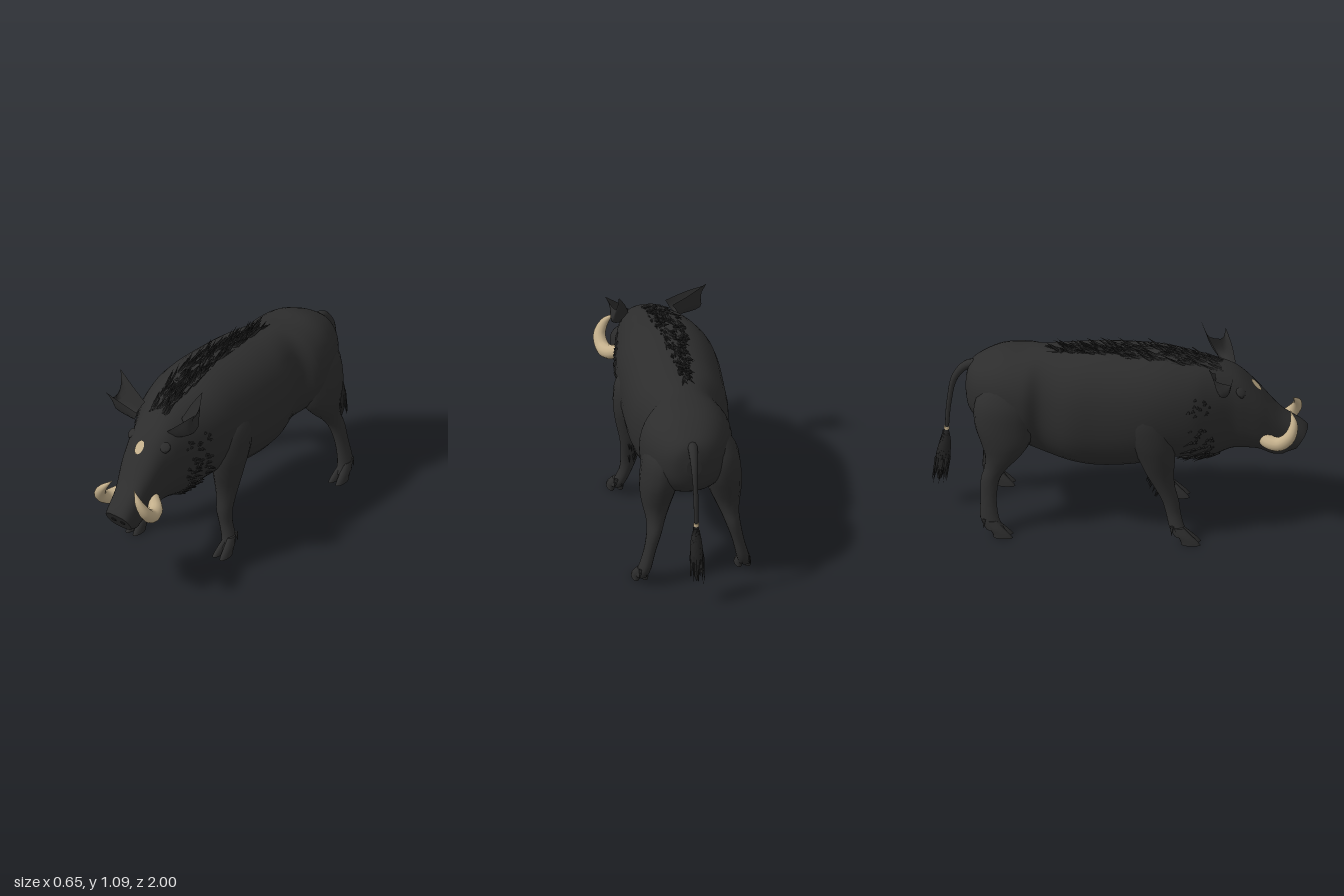
import * as THREE from 'three';
import { mergeGeometries } from 'three/addons/utils/BufferGeometryUtils.js';

const mat = (name, color, side = THREE.FrontSide) => {
  const m = new THREE.MeshStandardMaterial({ color, side });
  m.name = name;
  return m;
};
const V = (x, y, z) => new THREE.Vector3(x, y, z);

// Seeded random in the range a..b
let seed = 7;
const rnd = (a, b) => {
  seed = (seed * 16807) % 2147483647;
  return a + (b - a) * (seed / 2147483647);
};

// Smooth interpolation through rows of numbers, t in 0..1
function interp(rows, t) {
  const f = THREE.MathUtils.clamp(t, 0, 1) * (rows.length - 1);
  const i = Math.min(Math.floor(f), rows.length - 2), u = f - i;
  const r = k => rows[THREE.MathUtils.clamp(k, 0, rows.length - 1)];
  return rows[0].map((_, c) => {
    const [p0, p1, p2, p3] = [r(i - 1)[c], r(i)[c], r(i + 1)[c], r(i + 2)[c]];
    return p1 + 0.5 * u * (p2 - p0 + u * (2 * p0 - 5 * p1 + 4 * p2 - p3 + u * (3 * (p1 - p2) + p3 - p0)));
  });
}

function build(pos, idx) {
  const g = new THREE.BufferGeometry();
  g.setAttribute('position', new THREE.Float32BufferAttribute(pos, 3));
  g.setIndex(idx);
  g.computeVertexNormals();
  return g;
}

// Closed skin over a surface function fn(t, angle), with flat end caps
function loft(fn, nt, na) {
  const pos = [], idx = [];
  const ring = t => { for (let j = 0; j < na; j++) pos.push(...fn(t, (j / na) * Math.PI * 2).toArray()); };
  for (let i = 0; i <= nt; i++) ring(i / nt);
  for (let i = 0; i < nt; i++) for (let j = 0; j < na; j++) {
    const a = i * na + j, b = i * na + (j + 1) % na;
    idx.push(a, a + na, b, b, a + na, b + na);
  }
  for (const t of [0, 1]) {
    const s = pos.length / 3;
    ring(t);
    pos.push(...fn(t, 0).add(fn(t, Math.PI)).multiplyScalar(0.5).toArray());
    for (let j = 0; j < na; j++) {
      const a = s + j, b = s + (j + 1) % na;
      idx.push(s + na, t ? b : a, t ? a : b);
    }
  }
  return build(pos, idx);
}

// Limb from rows [y, x, z, radiusX, radiusZ], highest first
const limb = (rows, nt = 28, na = 16) => loft((t, a) => {
  const [y, x, z, rx, rz] = interp(rows, t);
  return V(x + rx * Math.sin(a), y, z + rz * Math.cos(a));
}, nt, na);

// Tube whose radius follows a list
function taper(points, radii, n = 24, sides = 10) {
  const path = new THREE.CatmullRomCurve3(points);
  const g = new THREE.TubeGeometry(path, n, 1, sides);
  const p = g.attributes.position, v = V(0, 0, 0);
  for (let k = 0; k < p.count; k++) {
    const t = Math.floor(k / (sides + 1)) / n, c = path.getPointAt(t);
    v.fromBufferAttribute(p, k).sub(c).multiplyScalar(interp(radii.map(r => [r]), t)[0]).add(c);
    p.setXYZ(k, v.x, v.y, v.z);
  }
  return g;
}

// One pointed tuft of bristle
function spike(at, dir, len, r) {
  const g = new THREE.ConeGeometry(r, len, 4, 1).translate(0, len / 2, 0);
  g.applyQuaternion(new THREE.Quaternion().setFromUnitVectors(V(0, 1, 0), dir.normalize()));
  return g.translate(at.x, at.y, at.z);
}

// Body and head rows: z, centre x, top y, bottom y, half width
const BODY = [
  [-0.82, 0.03, 0.8, 0.7, 0.04], [-0.8, 0.03, 0.87, 0.62, 0.11], [-0.74, 0.025, 0.92, 0.56, 0.175],
  [-0.63, 0.02, 0.97, 0.5, 0.23], [-0.5, 0.015, 0.985, 0.45, 0.25], [-0.4, 0, 1.0, 0.4, 0.21],
  [-0.25, -0.01, 1.01, 0.365, 0.26], [-0.1, -0.015, 1.025, 0.35, 0.272], [0.1, -0.025, 1.03, 0.375, 0.275],
  [0.25, -0.025, 1.02, 0.42, 0.265], [0.4, -0.02, 0.99, 0.42, 0.235], [0.5, -0.005, 0.965, 0.42, 0.2],
  [0.6, 0.01, 0.925, 0.455, 0.16], [0.67, 0.01, 0.875, 0.46, 0.137], [0.75, 0.015, 0.79, 0.45, 0.118],
  [0.82, 0.025, 0.705, 0.415, 0.1], [0.9, 0.042, 0.615, 0.41, 0.088], [0.965, 0.05, 0.55, 0.435, 0.078]];
const bend = (c, p) => Math.sign(c) * Math.abs(c) ** p;
// Sections grow boxier toward the head
const boxy = z => 0.88 - 0.12 * THREE.MathUtils.smoothstep(z, 0.5, 0.7);
function skin(t, a) {
  const [z, cx, top, bot, w] = interp(BODY, t), p = boxy(z);
  const dy = bend(Math.cos(a), p) * (top - bot) / 2;
  const lean = 0.6 * THREE.MathUtils.smoothstep(z, 0.85, 0.965);
  return V(cx + w * bend(Math.sin(a), p), (top + bot) / 2 + dy, z + dy * lean);
}
function tAt(z) {
  let lo = 0, hi = 1;
  for (let i = 0; i < 24; i++) {
    const m = (lo + hi) / 2;
    if (interp(BODY, m)[0] < z) lo = m; else hi = m;
  }
  return lo;
}
const onSkin = (z, a) => skin(tAt(z), a);

// Thin ear sheet, three rows of four points
function ear(rows) {
  const grid = rows.map(r => r.flat()), pos = [], idx = [], n = 8;
  for (let i = 0; i <= n; i++) {
    const row = interp(grid, i / n);
    const cols = [0, 3, 6, 9].map(k => row.slice(k, k + 3));
    for (let j = 0; j <= n; j++) pos.push(...interp(cols, j / n));
  }
  for (let i = 0; i < n; i++) for (let j = 0; j < n; j++) {
    const a = i * (n + 1) + j, b = a + n + 1;
    idx.push(a, b, a + 1, a + 1, b, b + 1);
  }
  return build(pos, idx);
}

export function createModel() {
  seed = 7;
  const group = new THREE.Group();
  const hide = mat('blackHide', 0x2d2d2d), earHide = mat('earHide', 0x2d2d2d, THREE.DoubleSide);
  const bristle = mat('darkBristle', 0x232323), ivory = mat('ivory', 0xc4b08c);
  const add = (name, geo, m) => {
    const mesh = new THREE.Mesh(geo, m);
    mesh.name = name;
    group.add(mesh);
    return mesh;
  };

  add('bodyAndHead', loft(skin, 85, 36), hide);

  // Legs with split hooves and dewclaws
  const FRONT = [[0.88, 0.12, 0.12, 0.04, 0.06], [0.75, 0.185, 0.14, 0.085, 0.11], [0.6, 0.195, 0.16, 0.092, 0.125],
    [0.48, 0.19, 0.175, 0.082, 0.1], [0.38, 0.185, 0.18, 0.066, 0.075], [0.3, 0.188, 0.195, 0.052, 0.055],
    [0.22, 0.193, 0.215, 0.043, 0.045], [0.15, 0.208, 0.222, 0.034, 0.04], [0.08, 0.235, 0.235, 0.034, 0.042],
    [0.04, 0.25, 0.26, 0.034, 0.045]];
  const HIND = [[0.88, 0.1, -0.58, 0.06, 0.08], [0.75, 0.145, -0.6, 0.1, 0.155], [0.62, 0.165, -0.605, 0.105, 0.16],
    [0.52, 0.18, -0.6, 0.095, 0.135], [0.44, 0.19, -0.615, 0.075, 0.095], [0.37, 0.2, -0.65, 0.052, 0.062],
    [0.3, 0.215, -0.682, 0.04, 0.05], [0.2, 0.24, -0.69, 0.032, 0.043], [0.1, 0.265, -0.685, 0.034, 0.05],
    [0.04, 0.28, -0.655, 0.035, 0.05]];
  const leg = (name, rows, side, dx, lean) => {
    const r = rows.map(([y, x, z, rx, rz]) => [y, side * (x + dx), z + lean * Math.max(0, 1 - y / 0.75), rx, rz]);
    add(name, limb(r), hide);
    const [, x, z] = r[r.length - 1];
    for (const s of [-1, 1]) {
      add(name + 'Toe', limb([[0.09, x + s * 0.01, z - 0.02, 0.014, 0.028], [0.05, x + s * 0.018, z + 0.01, 0.02, 0.04],
        [0.02, x + s * 0.022, z + 0.035, 0.021, 0.046], [0, x + s * 0.024, z + 0.045, 0.021, 0.052]], 8, 10), hide);
      add(name + 'Dewclaw', spike(V(x + s * 0.012, 0.1, z - 0.055), V(s * 0.15, -1, -0.1), 0.055, 0.012), hide);
    }
  };
  leg('leftFrontLeg', FRONT, 1, -0.014, 0);
  leg('rightFrontLeg', FRONT, -1, 0.022, 0.105);
  leg('leftHindLeg', HIND, 1, 0.008, -0.02);
  leg('rightHindLeg', HIND, -1, -0.005, 0.015);

  // Cupped ears, from base to tips
  add('rightEar', ear([
    [[-0.1, 0.93, 0.61], [-0.13, 0.875, 0.6], [-0.16, 0.875, 0.54], [-0.12, 0.95, 0.52]],
    [[-0.21, 0.965, 0.62], [-0.255, 0.895, 0.6], [-0.275, 0.905, 0.55], [-0.2, 1.0, 0.51]],
    [[-0.315, 0.99, 0.62], [-0.265, 0.965, 0.605], [-0.272, 0.99, 0.535], [-0.3, 1.075, 0.5]]]), earHide);
  add('leftEar', ear([
    [[0.1, 0.9, 0.61], [0.13, 0.86, 0.58], [0.165, 0.87, 0.53], [0.12, 0.94, 0.51]],
    [[0.17, 0.965, 0.585], [0.205, 0.895, 0.55], [0.21, 0.915, 0.48], [0.15, 1.02, 0.46]],
    [[0.24, 1.03, 0.545], [0.21, 0.98, 0.53], [0.195, 1.0, 0.455], [0.19, 1.09, 0.42]]]), earHide);

  // Tusks, eyes, brows and nostrils
  for (const s of [1, -1]) {
    const side = s > 0 ? 'left' : 'right', X = x => 0.042 + s * (x - 0.042);
    add(side + 'Tusk', taper([V(X(0.115), 0.56, 0.75), V(X(0.17), 0.53, 0.8), V(X(0.192), 0.53, 0.86),
      V(X(0.196), 0.575, 0.915), V(X(0.165), 0.635, 0.935), V(X(0.115), 0.692, 0.915)],
    [0.034, 0.039, 0.038, 0.033, 0.021, 0.002], 30, 12), ivory);
    const eye = add(side + 'Eye', new THREE.SphereGeometry(0.014, 10, 8), bristle);
    eye.position.copy(onSkin(0.66, s * 0.93));
    const brow = add(side + 'Brow', new THREE.SphereGeometry(1, 12, 8), hide);
    brow.scale.set(0.03, 0.01, 0.03);
    brow.position.copy(onSkin(0.655, s * 0.83));
    brow.rotation.set(0.7, 0, -s * 0.5);
    const nostril = add(side + 'Nostril', new THREE.CylinderGeometry(0.015, 0.015, 0.006, 12), bristle);
    nostril.position.set(0.05 + s * 0.03, 0.495, 0.966);
    nostril.rotation.x = Math.PI / 2 + 0.54;
  }

  // Forehead spot laid on the skin
  const spot = new THREE.CircleGeometry(1, 24), sp = spot.attributes.position;
  for (let i = 0; i < sp.count; i++) {
    const t = tAt(0.724 - sp.getY(i) * 0.027), [z, cx, , , w] = interp(BODY, t);
    const p = skin(t, Math.asin(bend((0.006 + sp.getX(i) * 0.025 - cx) / w, 1 / boxy(z))));
    sp.setXYZ(i, p.x, p.y + 0.005, p.z + 0.005);
  }
  spot.computeVertexNormals();
  add('foreheadSpot', spot, ivory);

  // Bristly mane along the spine
  const mane = [];
  for (let i = 0; i < 340; i++) {
    const z = rnd(-0.31, 0.56), wide = 0.06 + 0.2 * THREE.MathUtils.smoothstep(z, -0.4, 0.4);
    const at = onSkin(z, rnd(-wide, wide) - 0.06);
    at.y -= 0.008;
    mane.push(spike(at, V(rnd(-0.3, 0.3), rnd(0.12, 0.65), -1), rnd(0.06, 0.11), rnd(0.007, 0.013)));
  }
  add('mane', mergeGeometries(mane), bristle);

  // Ruff behind the cheeks, under the throat and on the elbows
  const ruff = [];
  for (let i = 0; i < 150; i++) {
    const s = i % 2 ? 1 : -1, a = s * rnd(1.1, 3.1), at = onSkin(rnd(0.38, 0.54), a);
    ruff.push(spike(at, V(Math.sin(a) * 0.05, rnd(-0.7, -0.2), -1), rnd(0.05, 0.085), rnd(0.007, 0.012)));
  }
  for (let i = 0; i < 10; i++) {
    const y = rnd(0.27, 0.38), x = rnd(-0.02, 0.02);
    ruff.push(spike(V(0.175 + x, y, 0.16 - (y - 0.27) * 0.35), V(0, -1, -0.4), 0.05, 0.007));
    ruff.push(spike(V(-0.21 + x, y, 0.23 - (y - 0.27) * 0.5), V(0, -1, -0.4), 0.05, 0.007));
  }
  add('ruff', mergeGeometries(ruff), bristle);

  // Tail with band and tassel
  add('tail', taper([V(0.03, 0.86, -0.74), V(0.035, 0.86, -0.81), V(0.04, 0.78, -0.88), V(0.04, 0.63, -0.912),
    V(0.04, 0.46, -0.925)], [0.03, 0.022, 0.015, 0.013, 0.011], 30, 10), hide);
  const band = add('tailBand', new THREE.CylinderGeometry(0.014, 0.014, 0.018, 12), ivory);
  band.position.set(0.04, 0.464, -0.925);
  const tassel = [];
  for (let i = 0; i < 80; i++) {
    const k = rnd(0, 1), a = rnd(0, Math.PI * 2), r = 0.008 + 0.024 * k;
    const at = V(0.042 + Math.cos(a) * r, 0.45 - 0.17 * k, -0.928 - 0.018 * k + Math.sin(a) * r);
    tassel.push(spike(at, V(Math.cos(a) * 0.06, -1, -0.13 + Math.sin(a) * 0.06), rnd(0.1, 0.16), 0.011));
  }
  add('tailTassel', mergeGeometries(tassel), bristle);
  add('tasselCore', limb([[0.455, 0.04, -0.925, 0.01, 0.01], [0.38, 0.042, -0.933, 0.028, 0.03],
    [0.28, 0.043, -0.947, 0.036, 0.038], [0.2, 0.045, -0.958, 0.022, 0.024], [0.14, 0.046, -0.966, 0.002, 0.002]], 16, 10), bristle);

  return group;
}
